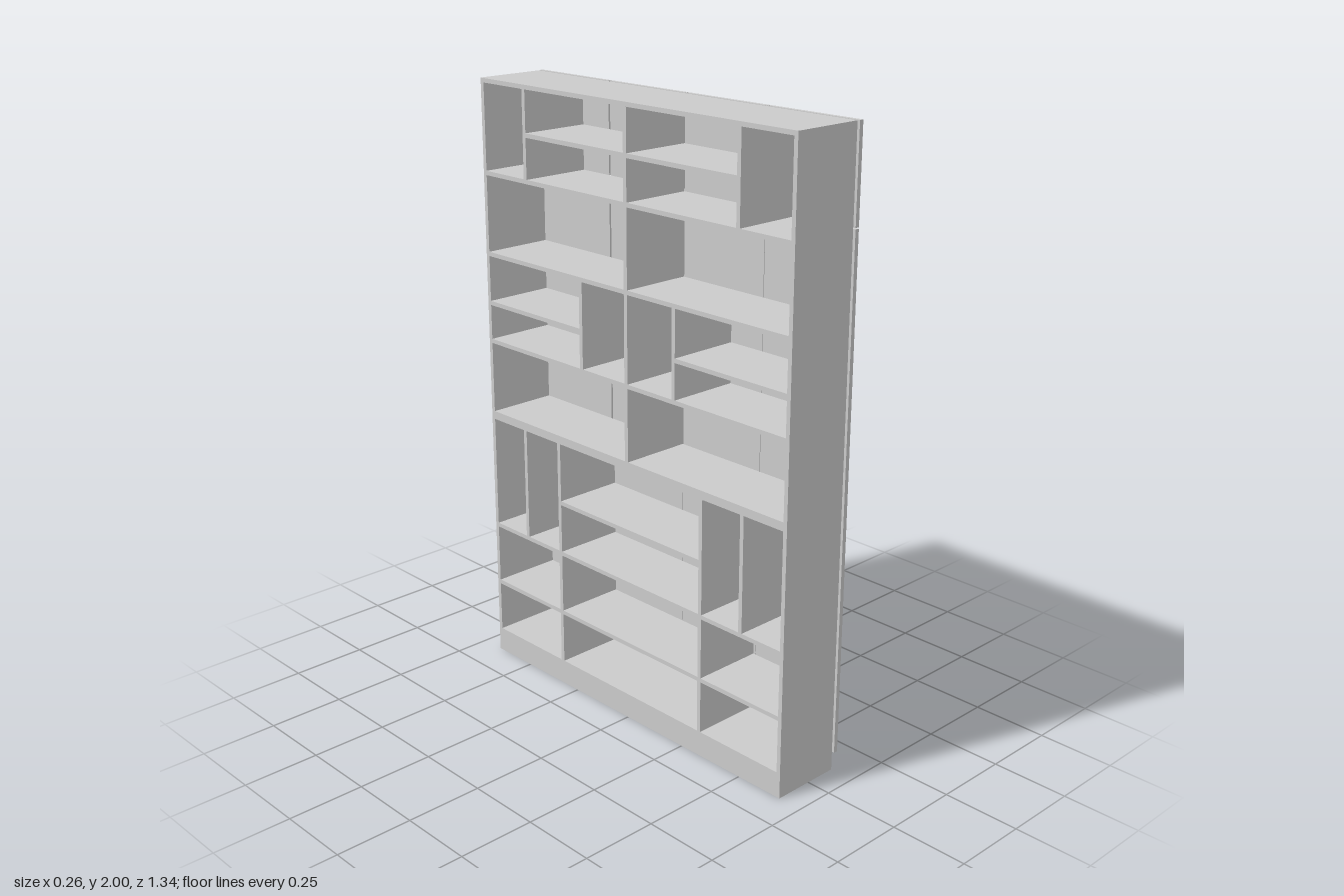
import * as THREE from 'three';

const T = 0.014;                 // board thickness
const XB = -0.13, XF = 0.107;    // carcass: open side at -x, door side at +x
const ZN = -0.666, ZP = 0.668;   // carcass ends
const SPLIT = 0.88;              // joint between lower and upper units

export function createModel() {
  const group = new THREE.Group();
  const material = new THREE.MeshStandardMaterial({ color: 0xcccccc });

  // Box given by its limits on each axis
  function box(name, x0, x1, y0, y1, z0, z1) {
    const mesh = new THREE.Mesh(new THREE.BoxGeometry(x1 - x0, y1 - y0, z1 - z0), material);
    mesh.position.set((x0 + x1) / 2, (y0 + y1) / 2, (z0 + z1) / 2);
    mesh.name = name;
    group.add(mesh);
  }
  // Shelf centred on height y, and divider centred on z
  const shelf = (y, z0, z1, name = 'shelf') => box(name, XB, XF, y - T / 2, y + T / 2, z0, z1);
  const divider = (z, y0, y1) => box('divider', XB, XF, y0 + T / 2, y1 - T / 2, z - T / 2, z + T / 2);

  // Plinth
  box('plinth', XB, XF, 0, 0.07, ZN, ZP);

  // Side panels, one per unit at each end
  for (const [y0, y1] of [[0.07, SPLIT], [SPLIT, 2]]) {
    box('sidePanel', XB, XF, y0, y1, ZN, ZN + T);
    box('sidePanel', XB, XF, y0, y1, ZP - T, ZP);
  }
  const a = ZN + T, b = ZP - T;

  // Full-width boards
  shelf(0.07 + T / 2, a, b, 'bottomPanel');
  shelf(SPLIT - T / 2, a, b, 'lowerUnitTop');
  shelf(SPLIT + T / 2, a, b, 'upperUnitBottom');
  shelf(2 - T / 2, a, b, 'topPanel');

  // Upper unit: central divider with shelves on both sides
  divider(0, SPLIT + T / 2, 2 - T / 2);
  for (const [z0, z1] of [[a, -T / 2], [T / 2, b]]) {
    for (const y of [1.7, 1.435, 1.14]) shelf(y, z0, z1);
  }
  // Small compartments, top row
  for (const s of [-1, 1]) {
    const z = s * 0.458;
    divider(z, 1.7, 2 - T / 2);
    shelf(1.845, Math.min(0, z) + T / 2, Math.max(0, z) - T / 2);
  }
  // Small compartments, middle row
  for (const s of [-1, 1]) {
    const z = s * 0.205;
    divider(z, 1.14, 1.435);
    if (s < 0) shelf(1.27, a, z - T / 2);
    else shelf(1.27, z + T / 2, b);
  }

  // Lower unit: three bays
  for (const s of [-1, 1]) {
    divider(s * 0.324, 0.07 + T / 2, SPLIT - T / 2);
    divider(s * 0.493, 0.48, SPLIT - T / 2);
  }
  const bay = 0.324;
  for (const y of [0.48, 0.265]) {
    shelf(y, a, -bay - T / 2);
    shelf(y, -bay + T / 2, bay - T / 2);
    shelf(y, bay + T / 2, b);
  }
  shelf(0.66, -bay + T / 2, bay - T / 2);

  // Doors: four tall ones with four short ones above
  const columns = [[-0.672, -0.339], [-0.332, -0.001], [0.001, 0.332], [0.334, 0.67]];
  for (const [z0, z1] of columns) {
    box('tallDoor', 0.115, 0.129, 0.056, 1.7, z0, z1);
    box('shortDoor', 0.115, 0.129, 1.704, 2, z0, z1);
  }
  return group;
}
